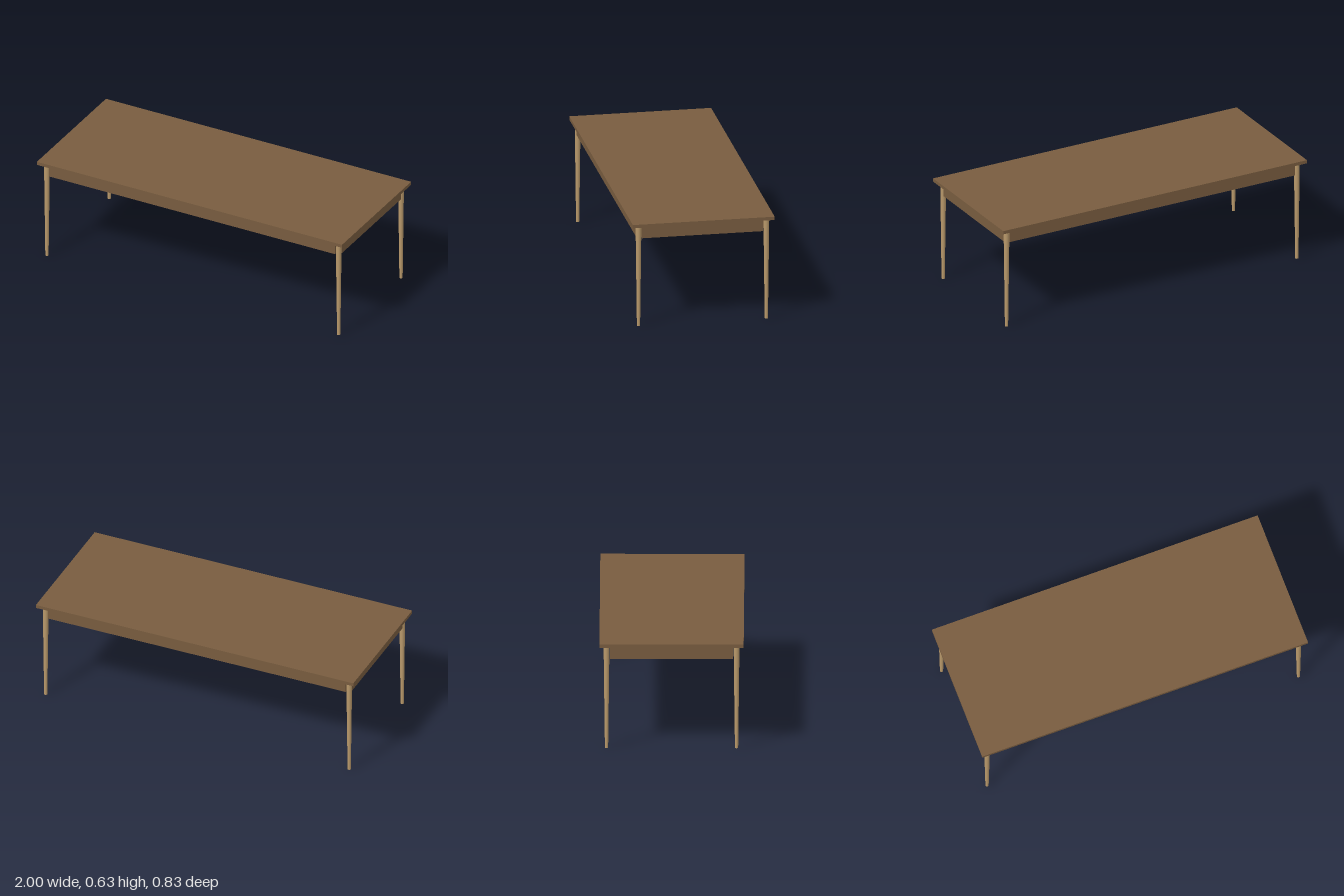
import * as THREE from 'three';

export function createModel() {
  const darkWood = new THREE.MeshStandardMaterial({ color: 0x785c3f });
  darkWood.name = 'darkWood';
  const lightWood = new THREE.MeshStandardMaterial({ color: 0xb8986a });
  lightWood.name = 'lightWood';

  const table = new THREE.Group();
  table.name = 'diningTable';

  const topY = 0.627, underside = 0.607, apronBottom = 0.532;
  const legX = 0.956, legZ = 0.374;

  const add = (name, geometry, material, x, y, z) => {
    const mesh = new THREE.Mesh(geometry, material);
    mesh.name = name;
    mesh.position.set(x, y, z);
    table.add(mesh);
  };

  // Thin rectangular top
  add('tableTop', new THREE.BoxGeometry(2, topY - underside, 0.83), darkWood,
    0, (topY + underside) / 2, 0);

  // Apron boards running between the legs
  const apronH = underside - apronBottom, apronY = (underside + apronBottom) / 2;
  const longApron = new THREE.BoxGeometry(1.876, apronH, 0.02);
  const shortApron = new THREE.BoxGeometry(0.02, apronH, 0.708);

  // Round legs tapering to the floor
  const leg = new THREE.CylinderGeometry(0.017, 0.0095, underside, 24);

  for (const s of [-1, 1]) {
    add(s > 0 ? 'frontApron' : 'backApron', longApron, darkWood, 0, apronY, s * legZ);
    add(s > 0 ? 'leftApron' : 'rightApron', shortApron, darkWood, s * legX, apronY, 0);
    for (const t of [-1, 1]) {
      add((t > 0 ? 'front' : 'back') + (s > 0 ? 'Left' : 'Right') + 'Leg', leg, lightWood,
        s * legX, underside / 2, t * legZ);
    }
  }
  return table;
}
